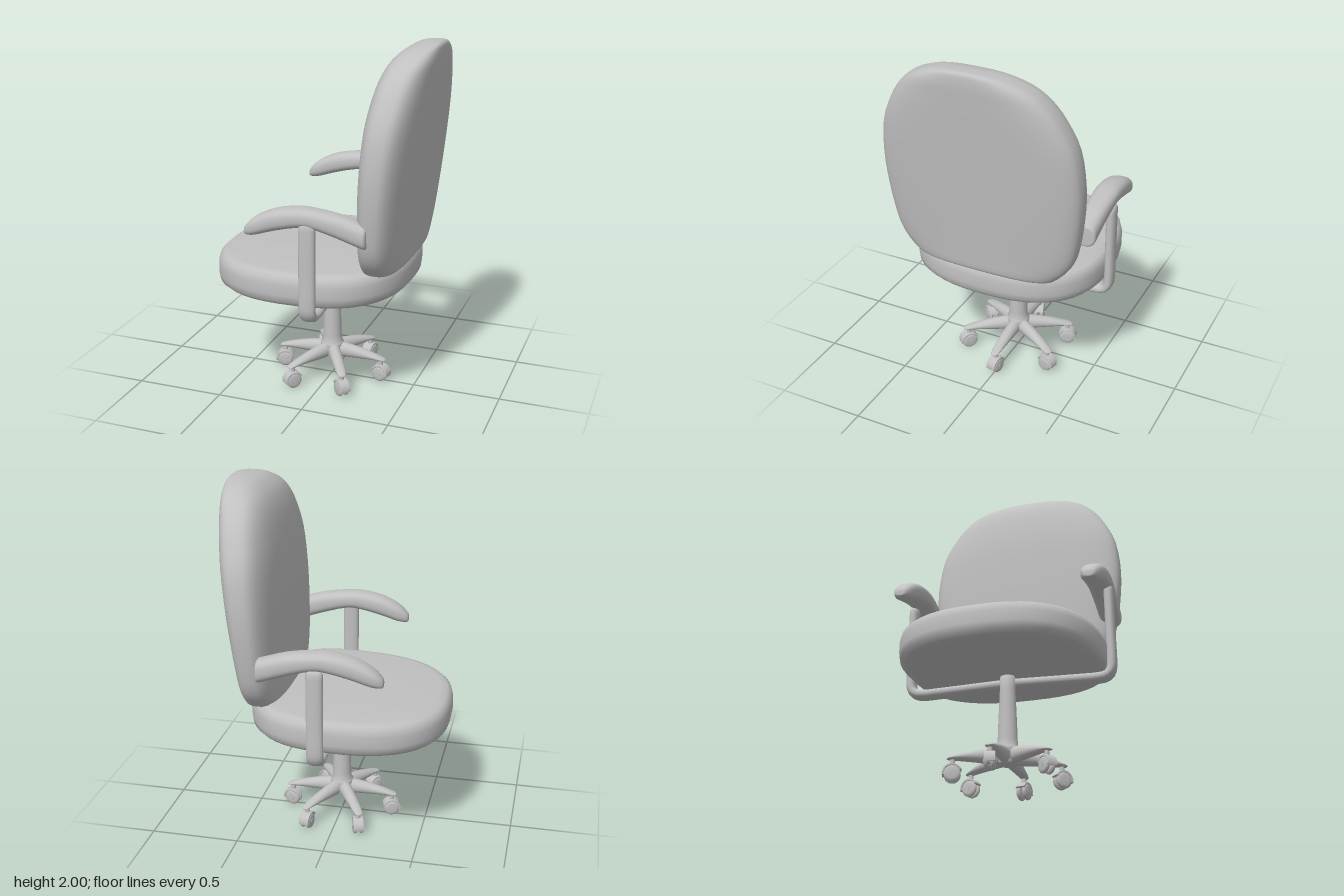
import * as THREE from 'three';

const grey = new THREE.MeshStandardMaterial({ color: 0xc0c0c0 });
grey.name = 'light grey';
const SEG = 48;

// Unit superellipse, counter-clockwise; n = 2 is round, larger is boxier
function superellipse(n, seg = SEG) {
  return Array.from({ length: seg }, (_, i) => {
    const a = (i / seg) * Math.PI * 2, c = Math.cos(a), s = Math.sin(a);
    return [Math.sign(c) * Math.abs(c) ** (2 / n), Math.sign(s) * Math.abs(s) ** (2 / n)];
  });
}

// Skin a list of closed rings of [x, y, z] points and cap both ends
function loft(rings) {
  const m = rings[0].length, pos = rings.flat(2), index = [];
  for (let i = 0; i < rings.length - 1; i++) {
    for (let j = 0; j < m; j++) {
      const k = (j + 1) % m, a = i * m + j, b = i * m + k;
      index.push(a, b, b + m, a, b + m, a + m);
    }
  }
  [0, rings.length - 1].forEach((r, end) => {
    const centre = pos.length / 3;
    for (let c = 0; c < 3; c++) pos.push(rings[r].reduce((t, p) => t + p[c], 0) / m);
    for (let j = 0; j < m; j++) {
      const a = r * m + j, b = r * m + ((j + 1) % m);
      if (end) index.push(a, b, centre);
      else index.push(b, a, centre);
    }
  });
  const g = new THREE.BufferGeometry();
  g.setAttribute('position', new THREE.Float32BufferAttribute(pos, 3));
  g.setIndex(index);
  g.computeVertexNormals();
  return g;
}

// Smooth a table of rows into many in-between rows
function smoothRows(rows, steps) {
  const out = [];
  const h = (a, b, c, d, t) =>
    0.5 * (2 * b + (c - a) * t + (2 * a - 5 * b + 4 * c - d) * t * t + (3 * b - a - 3 * c + d) * t ** 3);
  for (let i = 0; i < rows.length - 1; i++) {
    const a = rows[Math.max(i - 1, 0)], b = rows[i], c = rows[i + 1], d = rows[Math.min(i + 2, rows.length - 1)];
    for (let s = 0; s < steps; s++) out.push(b.map((_, k) => h(a[k], b[k], c[k], d[k], s / steps)));
  }
  out.push(rows[rows.length - 1]);
  return out;
}

// Bar along x from rows of [x, top, bottom, half width]
function beam(rows, n) {
  const unit = superellipse(n, 28);
  return loft(smoothRows(rows, 3).map(([x, top, bot, w]) =>
    unit.map(([c, s]) => [x, (top + bot) / 2 + c * (top - bot) / 2, s * w])));
}

function add(parent, name, geometry) {
  const mesh = new THREE.Mesh(geometry, grey);
  mesh.name = name;
  parent.add(mesh);
  return mesh;
}

function group(parent, name) {
  const g = new THREE.Group();
  g.name = name;
  parent.add(g);
  return g;
}

// Rows of [height, outline scale]; longer in front than behind, gently tilted
function seatGeometry() {
  const rows = [[0.617, 0.1], [0.617, 0.5], [0.62, 0.86], [0.632, 0.95], [0.655, 0.99], [0.69, 1],
    [0.75, 1], [0.785, 0.985], [0.805, 0.95], [0.815, 0.88], [0.82, 0.5], [0.821, 0.1]];
  const unit = superellipse(2.5);
  return loft(rows.map(([y, k]) => unit.map(([c, s]) => {
    const x = s * k * (s < 0 ? 0.63 : 0.49);
    return [x, y + x * 0.03, c * k * 0.557];
  })));
}

// Rows of [height, front x, rear x, half width]
function backrestGeometry() {
  const rows = [[0.797, 0.3, 0.46, 0.34], [0.805, 0.275, 0.485, 0.4], [0.83, 0.266, 0.497, 0.435],
    [0.9, 0.266, 0.504, 0.495], [1.0, 0.267, 0.515, 0.535], [1.2, 0.271, 0.538, 0.566],
    [1.4, 0.28, 0.56, 0.575], [1.6, 0.295, 0.583, 0.55], [1.75, 0.32, 0.6, 0.485],
    [1.85, 0.348, 0.61, 0.415], [1.92, 0.385, 0.617, 0.335], [1.97, 0.44, 0.617, 0.225],
    [1.99, 0.49, 0.612, 0.14], [2.0, 0.54, 0.6, 0.05]];
  const unit = superellipse(2.9);
  return loft(smoothRows(rows, 3).map(([y, f, b, w]) =>
    unit.map(([c, s]) => [(f + b) / 2 + s * (b - f) / 2, y, c * w])));
}

// Flattened tube running up from under the seat to the arm pad
function armSupportGeometry(side) {
  const pts = [[0.012, 0.588], [0.2, 0.583], [0.4, 0.578], [0.5, 0.577], [0.545, 0.585], [0.57, 0.612],
    [0.576, 0.66], [0.575, 0.8], [0.574, 1.0], [0.572, 1.12]];
  const curve = new THREE.CatmullRomCurve3(pts.map(([z, y]) => new THREE.Vector3(0.045, y, z * side)));
  const unit = superellipse(2.4, 20), N = 50, rings = [];
  for (let i = 0; i <= N; i++) {
    const p = curve.getPointAt(i / N);
    const nrm = curve.getTangentAt(i / N).cross(new THREE.Vector3(1, 0, 0));
    const k = i === 0 || i === N ? 0.75 : 1;
    rings.push(unit.map(([c, s]) => [
      p.x + c * 0.046 * k, p.y + nrm.y * s * 0.027 * k, p.z + nrm.z * s * 0.027 * k]));
  }
  return loft(rings);
}

function lathe(points, seg = 32) {
  return new THREE.LatheGeometry(points.map(([r, y]) => new THREE.Vector2(r, y)), seg);
}

export function createModel() {
  const chair = new THREE.Group();
  chair.name = 'officeChair';

  add(chair, 'seat', seatGeometry());
  add(chair, 'backrest', backrestGeometry());

  // Arms, turned slightly about the column
  const arms = group(chair, 'arms');
  arms.rotation.y = 0.04;
  const padGeometry = beam([[-0.313, 1.055, 1.035, 0.015], [-0.304, 1.08, 1.025, 0.035], [-0.25, 1.13, 1.03, 0.057],
    [-0.15, 1.178, 1.062, 0.067], [-0.03, 1.201, 1.092, 0.07], [0.06, 1.2, 1.098, 0.069], [0.2, 1.182, 1.06, 0.065],
    [0.32, 1.148, 1.02, 0.062], [0.352, 1.138, 1.013, 0.06], [0.36, 1.125, 1.025, 0.048]], 2.6);
  for (const side of [1, -1]) {
    const arm = group(arms, side > 0 ? 'leftArm' : 'rightArm');
    add(arm, 'armSupport', armSupportGeometry(side));
    add(arm, 'armPad', padGeometry).position.set(0, -0.011 * side, 0.531 * side);
  }

  // Column and hub
  add(chair, 'column', lathe([[0, 0.115], [0.05, 0.115], [0.062, 0.125], [0.068, 0.19], [0.066, 0.203],
    [0.057, 0.215], [0.054, 0.25], [0.052, 0.32], [0.043, 0.54], [0.041, 0.63], [0, 0.63]]));

  // Six legs, each with a caster
  const legGeometry = beam([[0.02, 0.208, 0.115, 0.036], [0.08, 0.2, 0.115, 0.036], [0.16, 0.186, 0.118, 0.034],
    [0.24, 0.165, 0.121, 0.03], [0.3, 0.145, 0.122, 0.025], [0.322, 0.135, 0.123, 0.018], [0.328, 0.13, 0.125, 0.008]], 2);
  const wheelGeometry = lathe([[0, -0.013], [0.028, -0.013], [0.04, -0.009], [0.045, -0.003],
    [0.045, 0.004], [0.04, 0.01], [0.028, 0.014], [0, 0.014]], 24).rotateX(Math.PI / 2);
  const hoodShape = new THREE.Shape();
  hoodShape.absarc(0, 0, 0.052, -0.15, Math.PI * 0.85, false);
  hoodShape.absarc(0, 0, 0.044, Math.PI * 0.85, -0.15, true);
  const hoodGeometry = new THREE.ExtrudeGeometry(hoodShape, {
    depth: 0.05, bevelEnabled: true, bevelSize: 0.002, bevelThickness: 0.004, bevelSegments: 2, curveSegments: 16,
  }).translate(0, 0, -0.025);
  const base = group(chair, 'base');
  for (let i = 0; i < 6; i++) {
    const leg = group(base, 'leg' + (i + 1));
    leg.rotation.y = (i * Math.PI) / 3;
    add(leg, 'legBeam', legGeometry);
    const caster = group(leg, 'caster');
    caster.position.set(0.298, 0.046, 0);
    caster.rotation.y = i % 2 ? 0.3 : -0.2;
    for (const s of [-1, 1]) add(caster, 'wheel', wheelGeometry).position.z = s * 0.018;
    add(caster, 'hood', hoodGeometry);
    add(caster, 'stem', new THREE.CylinderGeometry(0.012, 0.014, 0.05, 16)).position.y = 0.07;
    add(caster, 'axle', new THREE.CylinderGeometry(0.012, 0.012, 0.068, 16)).rotation.x = Math.PI / 2;
  }
  return chair;
}
